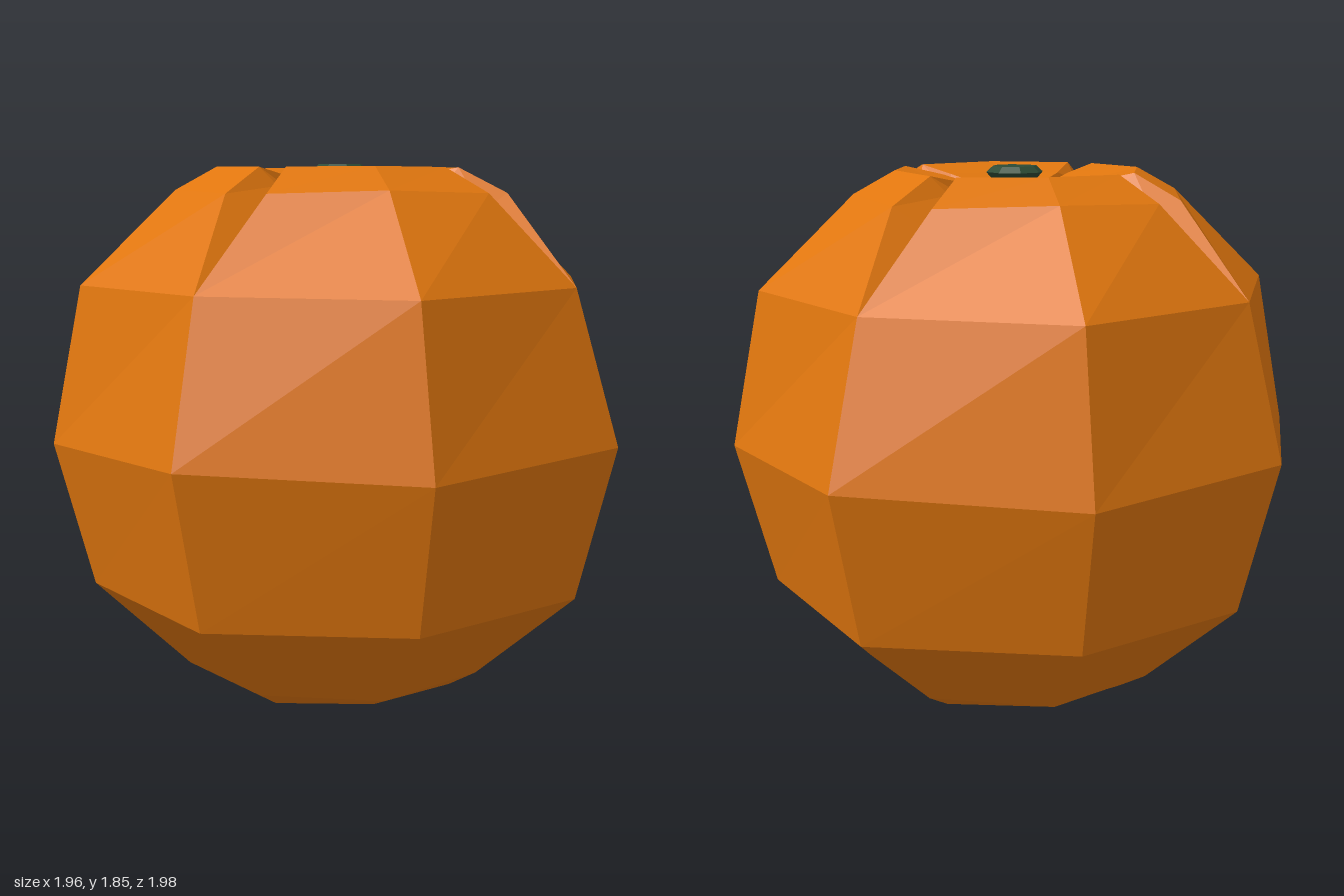
import * as THREE from 'three';

// Rings from the bottom pole up, over the rim and down into the dished top.
// y / yd: height at axis and diagonal columns, r / rd: their radii,
// half: half-width of the diagonal groove, dr / dy: how far its floor is sunk.
const RINGS = [
  { y: 0.005, yd: 0.005, r: 0, rd: 0, w: 0 },
  { y: 0.07, yd: 0.065, r: 0.42, rd: 0.43, w: 0.6 },
  { y: 0.125, yd: 0.125, r: 0.54, rd: 0.53, w: 0.6 },
  { y: 0.44, yd: 0.435, r: 0.865, rd: 0.87, w: 1 },
  { y: 0.93, yd: 0.955, r: 0.99, rd: 1.0, w: 1 },
  { y: 1.455, yd: 1.46, r: 0.88, rd: 0.86, w: 0.4 },
  { y: 1.765, yd: 1.755, r: 0.56, rd: 0.58, w: 0.6, half: 0.075, dr: 0.05, dy: 0.06 },
  { y: 1.84, yd: 1.838, r: 0.42, rd: 0.42, w: 0.4, half: 0.05, dr: 0.03, dy: 0.06 },
  { y: 1.81, yd: 1.81, r: 0.29, rd: 0.29, w: 0, half: 0.02, dr: 0, dy: 0.05 },
  { y: 1.755, yd: 1.755, r: 0.06, rd: 0.06, w: 0, half: 0.012, dr: 0, dy: 0.03 },
  { y: 1.735, yd: 1.735, r: 0, rd: 0, w: 0 },
];

// Slight irregularity [x, z] of the eight columns, starting at the front.
const WOBBLE = [[0.02, 0], [0.035, -0.02], [-0.01, 0.01], [0.02, -0.02],
  [-0.01, 0], [0.01, 0.01], [0.01, 0], [0.01, 0.01]];

// Each diagonal column becomes three points: groove edge, floor, groove edge.
function ringPoints(ring) {
  const points = [];
  for (let k = 0; k < 8; k++) {
    const a = k * Math.PI / 4;
    const diagonal = k % 2 === 1;
    for (const side of diagonal ? [-1, 0, 1] : [0]) {
      const sunk = diagonal && side === 0;
      const r = (diagonal ? ring.rd : ring.r) - (sunk ? ring.dr || 0 : 0);
      const y = (diagonal ? ring.yd : ring.y) - (sunk ? ring.dy || 0 : 0);
      const s = side * (ring.half || 0);
      points.push(new THREE.Vector3(
        Math.sin(a) * r + Math.cos(a) * s + WOBBLE[k][0] * ring.w,
        y,
        Math.cos(a) * r - Math.sin(a) * s + WOBBLE[k][1] * ring.w));
    }
  }
  return points;
}

function fruitGeometry() {
  const rows = RINGS.map(ringPoints);
  const positions = [];
  const triangle = (a, b, c) => {
    const area = b.clone().sub(a).cross(c.clone().sub(a)).length();
    if (area > 1e-7) for (const p of [a, b, c]) positions.push(p.x, p.y, p.z);
  };
  for (let j = 0; j < rows.length - 1; j++) {
    const n = rows[j].length;
    for (let i = 0; i < n; i++) {
      const a = rows[j][i], b = rows[j][(i + 1) % n];
      const c = rows[j + 1][(i + 1) % n], d = rows[j + 1][i];
      triangle(a, b, c);
      triangle(a, c, d);
    }
  }
  const geometry = new THREE.BufferGeometry();
  geometry.setAttribute('position', new THREE.Float32BufferAttribute(positions, 3));
  geometry.computeVertexNormals();
  return geometry;
}

// Small eight-sided button with a pointed underside.
function calyxGeometry() {
  const profile = [[0, 1.72], [0.025, 1.765], [0.075, 1.805], [0.097, 1.83], [0.075, 1.85], [0, 1.85]]
    .map(([x, y]) => new THREE.Vector2(x, y));
  const geometry = new THREE.LatheGeometry(profile, 8).toNonIndexed();
  geometry.computeVertexNormals();
  return geometry;
}

export function createModel() {
  const orange = new THREE.MeshStandardMaterial({ color: 0xe0760e });
  orange.name = 'orange peel';
  const green = new THREE.MeshStandardMaterial({ color: 0x2d4a35 });
  green.name = 'dark green';

  const model = new THREE.Group();
  model.name = 'fruit';

  const body = new THREE.Mesh(fruitGeometry(), orange);
  body.name = 'fruitBody';
  model.add(body);

  const calyx = new THREE.Mesh(calyxGeometry(), green);
  calyx.name = 'calyx';
  calyx.position.x = 0.012;
  model.add(calyx);

  return model;
}
